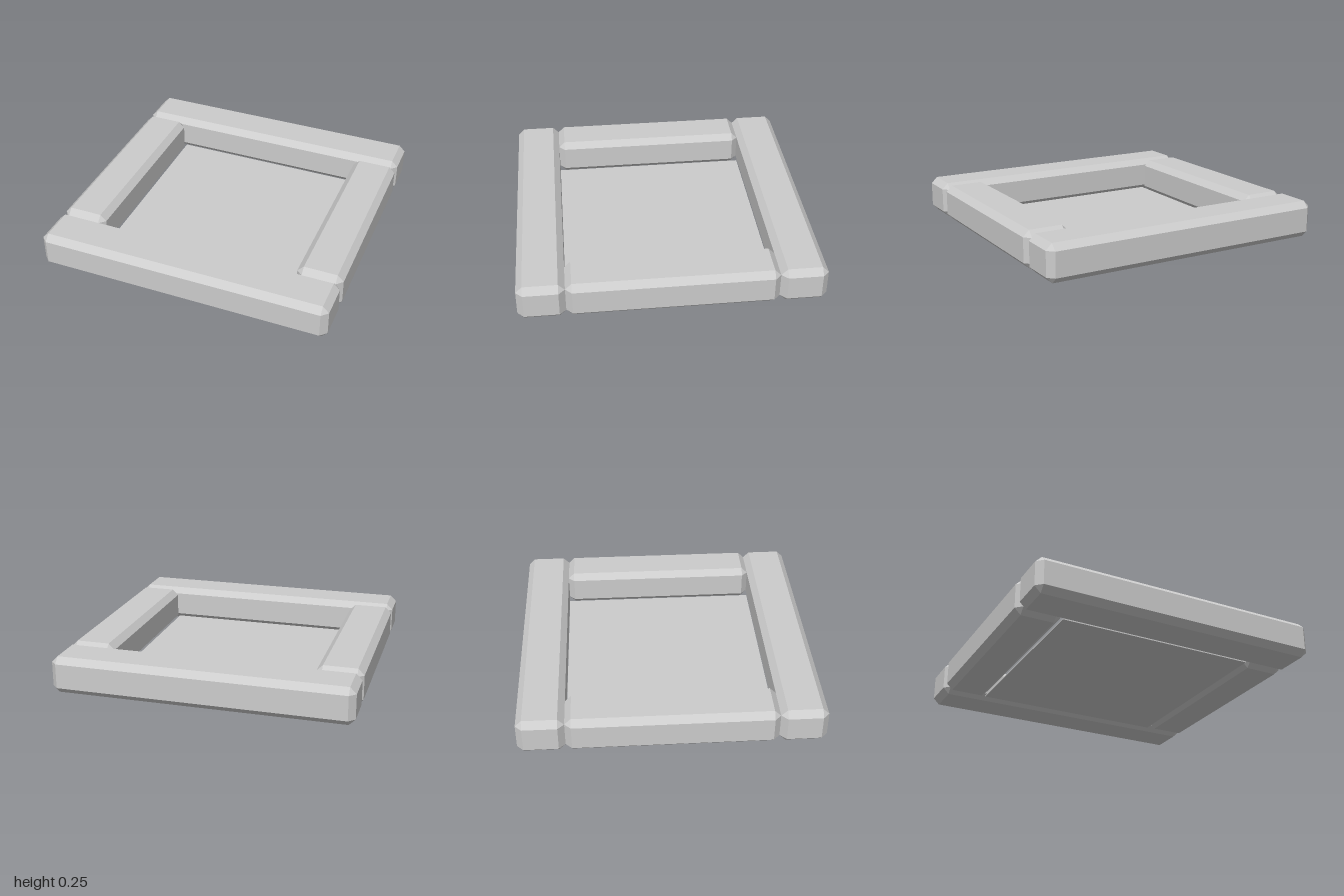
import * as THREE from 'three';
import { ConvexGeometry } from 'three/addons/geometries/ConvexGeometry.js';

const HEIGHT = 0.25, WIDTH = 0.31, BEVEL = 0.042;

// Box with every edge cut at 45 degrees: one inset face per side, hulled together
function bevelledBox(w, h, d, b) {
  const half = [w / 2, h / 2, d / 2];
  const points = [];
  for (let axis = 0; axis < 3; axis++) {
    for (const sx of [-1, 1]) for (const sy of [-1, 1]) for (const sz of [-1, 1]) {
      const p = [sx, sy, sz].map((s, i) => s * (half[i] - (i === axis ? 0 : b)));
      points.push(new THREE.Vector3(...p));
    }
  }
  return new ConvexGeometry(points);
}

export function createModel() {
  const group = new THREE.Group();
  group.name = 'squareFrame';
  const grey = new THREE.MeshStandardMaterial({ color: 0xcccccc });
  grey.name = 'light grey';

  const add = (name, geometry, x, y, z) => {
    const mesh = new THREE.Mesh(geometry, grey);
    mesh.name = name;
    mesh.position.set(x, y, z);
    group.add(mesh);
  };

  // Long beams across the front and back, short beams fitted between them
  const inner = 1 - WIDTH;
  const offset = 1 - WIDTH / 2;
  const longBeam = bevelledBox(2, HEIGHT, WIDTH, BEVEL);
  const shortBeam = bevelledBox(WIDTH, HEIGHT, inner * 2, BEVEL);
  add('frontBeam', longBeam, 0, HEIGHT / 2, offset);
  add('backBeam', longBeam, 0, HEIGHT / 2, -offset);
  add('leftBeam', shortBeam, offset, HEIGHT / 2, 0);
  add('rightBeam', shortBeam, -offset, HEIGHT / 2, 0);

  // Thin floor panel just above the ground
  add('floorPanel', new THREE.BoxGeometry(inner * 2, 0.008, inner * 2), 0, 0.02, 0);
  return group;
}
